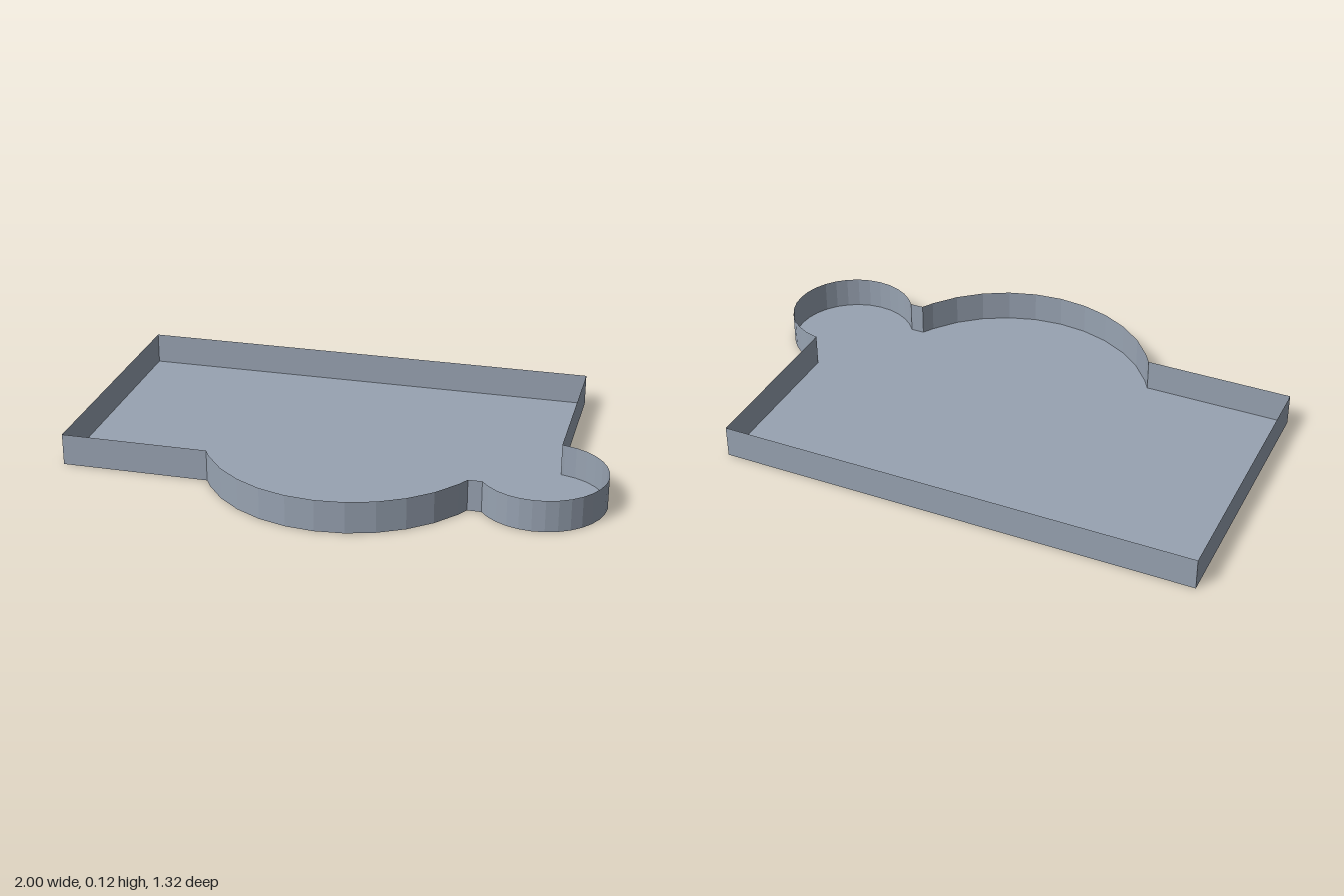
import * as THREE from 'three';

const HEIGHT = 0.12;
const BACK = -0.66, FRONT = 0.375, LEFT_END = 0.8, RIGHT_END = -1;
const STEP = Math.PI / 16; // 32-sided curves

// Faceted arc; angle 0 points to the front, positive turns towards +x
function arcPoints(cx, cz, r, start, end) {
  const angles = [start];
  for (let k = Math.floor(start / STEP) + 1; k * STEP < end - 0.001; k++) angles.push(k * STEP);
  angles.push(end);
  return angles.map(t => new THREE.Vector2(cx + r * Math.sin(t), cz + r * Math.cos(t)));
}

// Outline as (x, z): rectangle with a wide front bay and a round corner bay
function trayOutline() {
  const bay = { x: 0.04, z: 0.111, r: 0.549 };
  const corner = { x: 0.765, z: 0.24, r: 0.235 };
  const bayHalf = Math.acos((FRONT - bay.z) / bay.r);
  const cornerStart = -Math.acos((FRONT - corner.z) / corner.r);
  const cornerEnd = Math.PI - Math.asin((LEFT_END - corner.x) / corner.r);
  return [
    new THREE.Vector2(RIGHT_END, BACK),
    new THREE.Vector2(RIGHT_END, FRONT),
    ...arcPoints(bay.x, bay.z, bay.r, -bayHalf, bayHalf),
    ...arcPoints(corner.x, corner.z, corner.r, cornerStart, cornerEnd),
    new THREE.Vector2(LEFT_END, BACK),
  ];
}

// Thin upright wall with one flat panel per outline edge
function wallGeometry(points) {
  const positions = [];
  points.forEach((a, i) => {
    const b = points[(i + 1) % points.length];
    const a0 = [a.x, 0, a.y], b0 = [b.x, 0, b.y];
    const a1 = [a.x, HEIGHT, a.y], b1 = [b.x, HEIGHT, b.y];
    positions.push(...a0, ...b0, ...b1, ...a0, ...b1, ...a1);
  });
  const geometry = new THREE.BufferGeometry();
  geometry.setAttribute('position', new THREE.Float32BufferAttribute(positions, 3));
  geometry.computeVertexNormals();
  return geometry;
}

export function createModel() {
  const group = new THREE.Group();
  group.name = 'openTray';
  const slate = new THREE.MeshStandardMaterial({ color: 0x98a3b2, side: THREE.DoubleSide });
  slate.name = 'slateGrey';

  const outline = trayOutline();

  // Flat floor
  const floor = new THREE.Mesh(new THREE.ShapeGeometry(new THREE.Shape(outline)).rotateX(Math.PI / 2), slate);
  floor.name = 'floor';

  // Surrounding rim, open at the top
  const wall = new THREE.Mesh(wallGeometry(outline), slate);
  wall.name = 'wall';

  group.add(floor, wall);
  return group;
}
